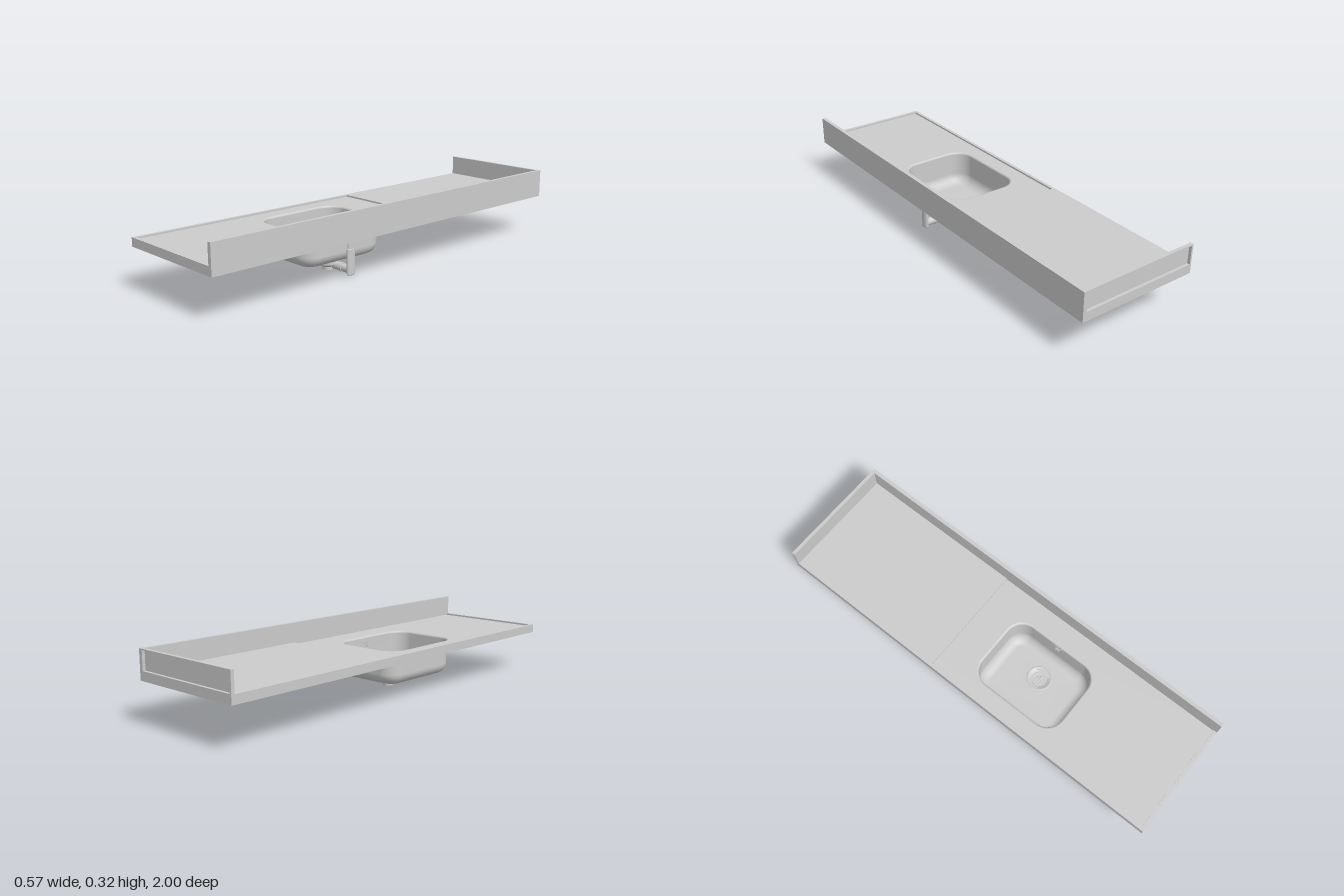
import * as THREE from 'three';

const grey = new THREE.MeshStandardMaterial({ color: 0xcccccc, side: THREE.DoubleSide });

function add(parent, name, geometry, x = 0, y = 0, z = 0) {
  const mesh = new THREE.Mesh(geometry, grey);
  mesh.name = name;
  mesh.position.set(x, y, z);
  parent.add(mesh);
  return mesh;
}

// Points of a rounded rectangle, counter-clockwise
function roundedRect(cx, cy, hx, hy, r, n = 10) {
  const pts = [];
  for (let c = 0; c < 4; c++) {
    const sx = c === 0 || c === 3 ? 1 : -1, sy = c < 2 ? 1 : -1;
    for (let i = 0; i <= n; i++) {
      const a = (c + i / n) * Math.PI / 2;
      pts.push(new THREE.Vector2(cx + sx * (hx - r) + r * Math.cos(a), cy + sy * (hy - r) + r * Math.sin(a)));
    }
  }
  return pts;
}

function rect(x0, x1, y0, y1) {
  return [[x0, y0], [x1, y0], [x1, y1], [x0, y1]].map(p => new THREE.Vector2(...p));
}

function extrude(outline, holes, depth) {
  const shape = new THREE.Shape(outline);
  holes.forEach(h => shape.holes.push(new THREE.Path(h)));
  return new THREE.ExtrudeGeometry(shape, { depth, bevelEnabled: false });
}

// Horizontal plate drawn in x and z between two heights
function plate(outline, holes, y0, y1) {
  return extrude(outline, holes, y1 - y0).rotateX(Math.PI / 2).translate(0, y1, 0);
}

const lathe = pts => new THREE.LatheGeometry(pts.map(p => new THREE.Vector2(...p)), 40);
const tubeX = (r, length) => new THREE.CylinderGeometry(r, r, length, 32).rotateZ(Math.PI / 2);

const BX = -0.02, BZ = 0.213, HX = 0.173, HZ = 0.223;  // bowl centre and half sizes
const DX = 0.025, DR = 0.055;                          // drain centre and radius
const DECK = 0.222, RIM = 0.23, TOP = 0.323, UNDER = 0.19, FLOOR = 0.059;

// Bowl skin: flared lip, walls, rounded floor edge, floor meeting the drain
function bowlGeometry() {
  const rings = [];
  const ring = (inset, y) => rings.push(
    roundedRect(BX, BZ, HX - inset, HZ - inset, 0.08 - inset).map(p => [p.x, y, p.y]));
  for (let i = 0; i <= 5; i++) {
    const a = i / 5 * Math.PI / 2;
    ring(-0.01 * (1 - Math.sin(a)), DECK - 0.01 * (1 - Math.cos(a)));
  }
  const R = 0.05;
  for (let i = 0; i <= 8; i++) {
    const a = i / 8 * Math.PI / 2;
    ring(R * (1 - Math.cos(a)), FLOOR + R * (1 - Math.sin(a)));
  }
  const last = rings[rings.length - 1];
  rings.push(last.map(([x, , z]) => {
    const a = Math.atan2(z - BZ, x - DX);
    return [DX + DR * Math.cos(a), FLOOR, BZ + DR * Math.sin(a)];
  }));
  const n = last.length, index = [];
  for (let j = 0; j < rings.length - 1; j++) {
    for (let i = 0; i < n; i++) {
      const a = j * n + i, b = j * n + (i + 1) % n;
      index.push(a, b, a + n, b, b + n, a + n);
    }
  }
  const g = new THREE.BufferGeometry();
  g.setAttribute('position', new THREE.Float32BufferAttribute(rings.flat(2), 3));
  g.setIndex(index);
  g.computeVertexNormals();
  return g;
}

export function createModel() {
  const model = new THREE.Group();
  model.name = 'sinkWorktop';

  // Worktop: underside, sunken deck and raised rim
  const top = new THREE.Group();
  top.name = 'worktop';
  model.add(top);
  const slab = rect(-0.285, 0.285, -1, 1);
  add(top, 'underside', plate(slab, [roundedRect(BX, BZ, HX + 0.003, HZ + 0.003, 0.055)], UNDER, 0.2));
  add(top, 'deck', plate(slab, [roundedRect(BX, BZ, HX + 0.01, HZ + 0.01, 0.09)], 0.2, DECK));
  add(top, 'raisedRim', plate(slab, [rect(-0.27, 0.267, -0.175, 0.984)], DECK, RIM));

  // Upstands along the left side and the back end, the latter hollow behind
  const h = TOP - RIM;
  add(top, 'sideUpstand', new THREE.BoxGeometry(0.018, h, 2), 0.276, RIM + h / 2, 0);
  add(top, 'backUpstandFrame',
    extrude(rect(-0.285, 0.267, RIM, TOP), [rect(-0.277, 0.266, RIM + 0.002, TOP - 0.006)], 0.013), 0, 0, -1);
  add(top, 'backUpstandPanel', new THREE.BoxGeometry(0.552, h, 0.003), -0.009, RIM + h / 2, -0.9855);

  add(model, 'bowl', bowlGeometry());

  // Drain: seat, strainer and trap body
  const drain = new THREE.Group();
  drain.name = 'drain';
  drain.position.set(DX, 0, BZ);
  model.add(drain);
  add(drain, 'drainSeat', lathe([[0.06, 0.059], [0.058, 0.061], [0.052, 0.061], [0.042, 0.054], [0.034, 0.052]]));
  const holes = [];
  [[1, 0], [6, 0.013], [12, 0.025]].forEach(([count, r]) => {
    for (let i = 0; i < count; i++) {
      const a = i / count * Math.PI * 2;
      holes.push(roundedRect(r * Math.cos(a), r * Math.sin(a), 0.0035, 0.0035, 0.0035, 3));
    }
  });
  add(drain, 'strainer', plate(roundedRect(0, 0, 0.036, 0.036, 0.036), holes, 0.05, 0.053));
  const body = [[0, 0], [0.025, 0], [0.025, 0.015], [0.028, 0.015], [0.054, 0.029],
    [0.057, 0.031], [0.057, 0.048], [0.066, 0.048], [0.066, 0.059]];
  for (let i = 0; i < body.length - 1; i++) add(drain, 'trapBody', lathe([body[i], body[i + 1]]));

  // Overflow: flat pipe from the drain up to the bowl wall
  const overflow = new THREE.Group();
  overflow.name = 'overflow';
  overflow.position.z = BZ;
  model.add(overflow);
  add(overflow, 'branchPipe', tubeX(0.018, 0.105), 0.1225, 0.028, 0);
  add(overflow, 'branchCollar', tubeX(0.021, 0.016), 0.121, 0.028, 0);
  add(overflow, 'lowerRiser', lathe([[0, 0.005], [0.008, 0.005], [0.0105, 0.007], [0.011, 0.011],
    [0.011, 0.121], [0.0105, 0.125], [0.009, 0.125]]), 0.176, 0, 0).scale.z = 2;
  add(overflow, 'upperRiser', new THREE.CylinderGeometry(0.009, 0.009, 0.09, 32), 0.176, 0.165, 0).scale.z = 2;
  add(overflow, 'overflowHousing', tubeX(0.019, 0.02), 0.162, 0.194, 0).scale.z = 1.7;
  add(overflow, 'overflowCover', tubeX(0.019, 0.004), 0.152, 0.185, 0);
  for (let i = -1; i <= 1; i++) {
    add(overflow, 'overflowSlot', new THREE.BoxGeometry(0.002, 0.004, 0.022), 0.1495, 0.185 + i * 0.009, 0);
  }
  return model;
}
